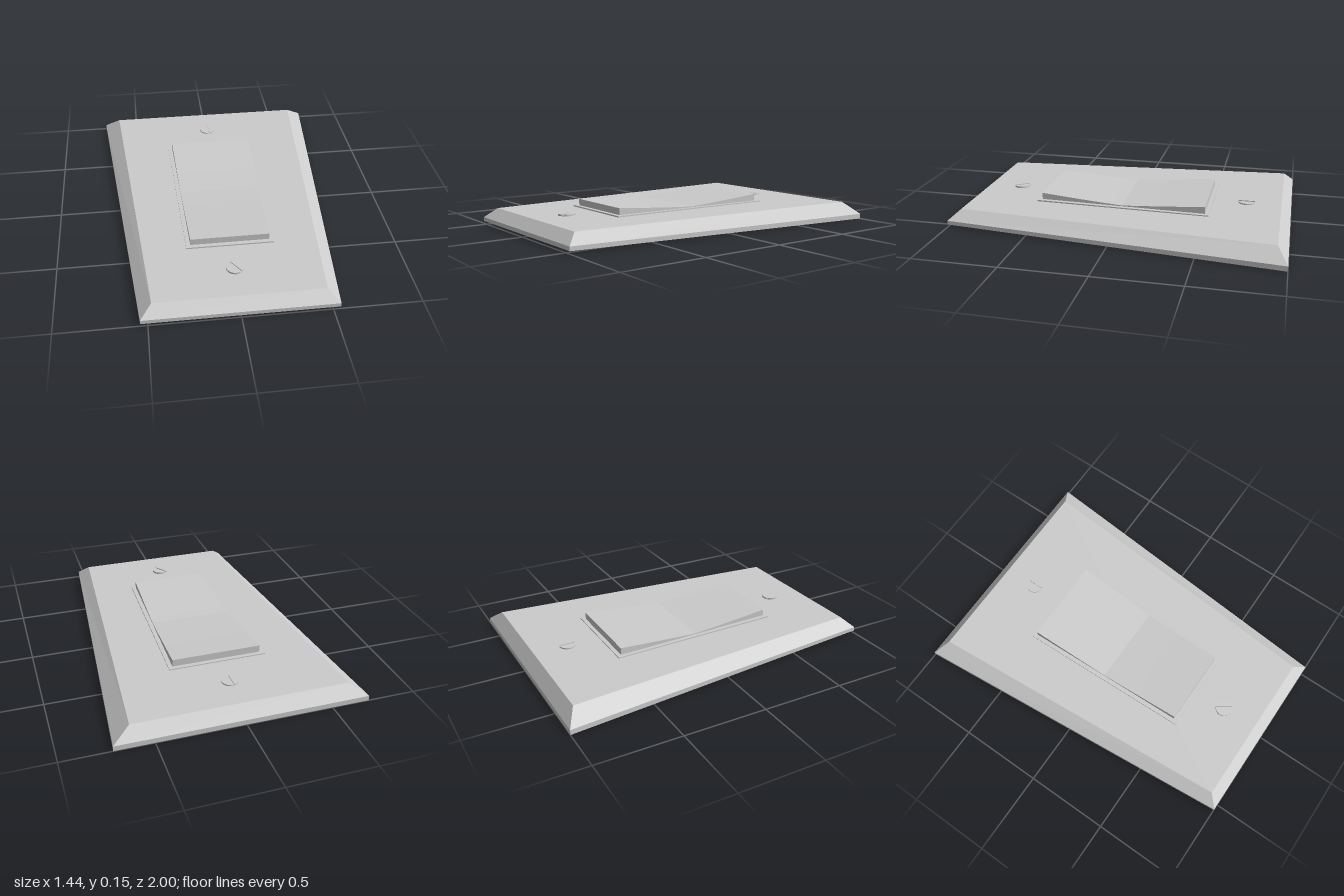
import * as THREE from 'three';

const grey = new THREE.MeshStandardMaterial({ color: 0xcccccc, flatShading: true, side: THREE.DoubleSide });

function mesh(name, geometry) {
  const m = new THREE.Mesh(geometry, grey);
  m.name = name;
  return m;
}

// Four corners of a tapered outline: half width and height at the front and back ends
function loop(zFront, wFront, yFront, zBack, wBack, yBack) {
  return [[-wFront, yFront, zFront], [wFront, yFront, zFront], [wBack, yBack, zBack], [-wBack, yBack, zBack]];
}

// Skin stacked loops from bottom to top, optionally closing the top
function loft(loops, capTop) {
  const pos = [];
  const quad = (a, b, c, d) => pos.push(...a, ...b, ...c, ...a, ...c, ...d);
  for (let i = 0; i + 1 < loops.length; i++) {
    for (let k = 0; k < 4; k++) {
      const n = (k + 1) % 4;
      quad(loops[i][k], loops[i][n], loops[i + 1][n], loops[i + 1][k]);
    }
  }
  if (capTop) quad(...loops[loops.length - 1]);
  const g = new THREE.BufferGeometry();
  g.setAttribute('position', new THREE.Float32BufferAttribute(pos, 3));
  g.computeVertexNormals();
  return g;
}

// Flat shape extruded upwards from height y (shape y runs towards the back)
function slab(shape, y, height) {
  const g = new THREE.ExtrudeGeometry(shape, { depth: height, bevelEnabled: false, curveSegments: 16 });
  return g.rotateX(-Math.PI / 2).translate(0, y, 0);
}

function trapezoid(zFront, wFront, zBack, wBack) {
  return [[-wFront, -zFront], [wFront, -zFront], [wBack, -zBack], [-wBack, -zBack]]
    .map(([x, y]) => new THREE.Vector2(x, y));
}

// Rocker: a box tapered towards the front, with its top dipping in the middle
function rockerGeometry() {
  const g = new THREE.BoxGeometry(2, 1, 1.01, 1, 1, 16);
  const p = g.attributes.position;
  for (let i = 0; i < p.count; i++) {
    const z = p.getZ(i);
    const rise = 0.036 * Math.pow(Math.abs(z) / 0.505, 1.15);
    p.setX(i, p.getX(i) * (0.247 - 0.034 * z));
    p.setY(i, p.getY(i) > 0 ? 0.111 + rise - 0.003 * z : 0.1);
  }
  g.computeVertexNormals();
  return g;
}

// Screw: a disc with two half-round pads leaving a slot between them
function screw(name, z, angle) {
  const s = new THREE.Group();
  s.name = name;
  const base = mesh('screwBase', new THREE.CylinderGeometry(0.05, 0.05, 0.008, 32));
  base.position.y = 0.099;
  s.add(base);
  const a = Math.asin(0.008 / 0.05);
  for (const side of [0, Math.PI]) {
    const half = new THREE.Shape();
    half.absarc(0, 0, 0.05, a, Math.PI - a, false);
    half.closePath();
    const pad = mesh('screwPad', slab(half, 0.102, 0.006));
    pad.rotation.y = side;
    s.add(pad);
  }
  s.position.z = z;
  s.rotation.y = angle;
  return s;
}

export function createModel() {
  const group = new THREE.Group();
  group.name = 'wallSwitch';

  // Hollow bevelled cover plate
  group.add(mesh('coverPlate', loft([
    loop(1, 0.54, 0.015, -1, 0.72, 0),
    loop(1, 0.54, 0.039, -1, 0.72, 0.03),
    loop(0.935, 0.475, 0.097, -0.94, 0.62, 0.101),
  ], true)));

  // Thin frame around the rocker
  const ring = new THREE.Shape(trapezoid(0.53, 0.255, -0.53, 0.29));
  ring.holes.push(new THREE.Path(trapezoid(0.5, 0.228, -0.5, 0.262)));
  group.add(mesh('rockerFrame', slab(ring, 0.098, 0.008)));

  group.add(mesh('rocker', rockerGeometry()));

  // Open skirt hanging below the plate
  group.add(mesh('rockerSkirt', loft([
    loop(0.505, 0.23, 0.035, -0.51, 0.265, 0.035),
    loop(0.505, 0.23, 0.1, -0.51, 0.265, 0.1),
  ], false)));

  group.add(screw('backScrew', -0.73, Math.PI / 2));
  group.add(screw('frontScrew', 0.72, Math.PI / 2 + 0.6));
  return group;
}
